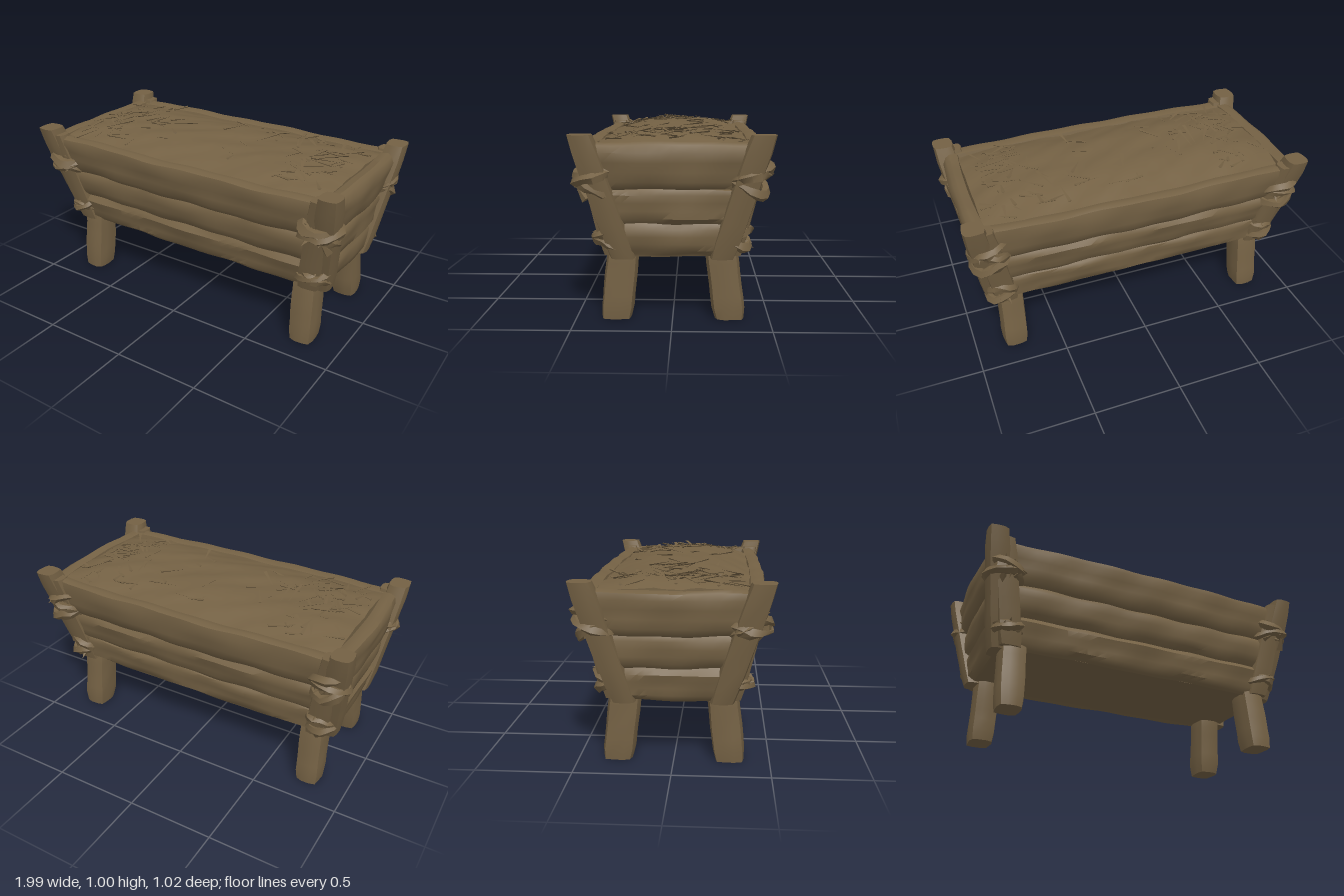
import * as THREE from 'three';
import { mergeVertices, mergeGeometries, toCreasedNormals } from 'three/addons/utils/BufferGeometryUtils.js';

const lerp = THREE.MathUtils.lerp;

// small seeded generator
let seed = 7;
const rnd = () => {
  seed = (seed * 16807) % 2147483647;
  return seed / 2147483647;
};
const spread = (a) => (rnd() * 2 - 1) * a;

// smooth carved unevenness
const wob = (x, y, z, s) =>
  (Math.sin(x * 9 + s * 1.7 + y * 5) + Math.sin(x * 19 + y * 27 + z * 13 + s * 2.9) * 0.7 +
    Math.sin(z * 11 + y * 8 - s * 4.1)) / 2.7;

// move every vertex by a rule, then smooth with creased edges
function shape(geo, rule, crease = 0.75) {
  geo.deleteAttribute('normal');
  geo.deleteAttribute('uv');
  const g = mergeVertices(geo, 1e-4);
  const p = g.attributes.position;
  const v = new THREE.Vector3();
  for (let i = 0; i < p.count; i++) {
    v.fromBufferAttribute(p, i);
    rule(v);
    p.setXYZ(i, v.x, v.y, v.z);
  }
  return toCreasedNormals(g, crease);
}

// outer faces of the flared box at a given height
const slope = (y) => (y - 0.34) / 0.58;
const sideZ = (y) => lerp(0.335, 0.465, slope(y));
const endX = (y) => lerp(0.875, 0.95, slope(y));

export function createModel() {
  const model = new THREE.Group();
  model.name = 'feedingTrough';
  const wood = new THREE.MeshStandardMaterial({ color: 0x746144 });
  wood.name = 'weatheredBrown';

  function add(geo, name) {
    const mesh = new THREE.Mesh(geo, wood);
    mesh.name = name;
    model.add(mesh);
    return mesh;
  }

  // one wall plank; faces +z and is turned to the wall it belongs to
  function plank(y0, y1, thick, end, s, angle) {
    const geo = shape(new THREE.BoxGeometry(1, 1, 1, end ? 14 : 28, 5, 2), (v) => {
      const u = v.x, h = v.y, w = v.z;
      const rim = y1 > 0.9;
      let y = lerp(y0, y1, h + 0.5);
      const half = end ? sideZ(y) - 0.05 : endX(y) - 0.05;
      const out = end ? endX(y) : sideZ(y);
      const x = u * 2 * half;
      const bulge = (1 - 4 * u * u) * (rim ? 0.022 : 0.008);
      const round = Math.abs(h) > 0.49 ? 0.02 : 0;
      const n = wob(x, h, w, s);
      y += Math.abs(h) > 0.49 ? wob(x, 0, w, s + 3) * 0.008 : 0;
      if (Math.abs(h) > 0.49 && Math.abs(w) > 0.4) y -= Math.sign(h) * 0.012;
      v.set(x, y, out - (0.5 - w) * thick + bulge + (w > 0 ? n * 0.009 - round : 0));
    });
    geo.rotateY(angle);
    add(geo, end ? 'endPlank' : 'sidePlank');
  }
  const rows = [[0.34, 0.525, 0.06], [0.505, 0.705, 0.07], [0.685, 0.925, 0.09]];
  rows.forEach(([y0, y1, t], i) => {
    for (let k = 0; k < 4; k++) plank(y0, y1, t, k % 2 === 1, i * 4 + k, (k * Math.PI) / 2);
  });

  // floor of the trough
  add(new THREE.BoxGeometry(1.7, 0.04, 0.62).translate(0, 0.365, 0), 'floor');

  // upright hewn beam running from a to b
  function beam(a, b, wx, wz, s, name) {
    add(shape(new THREE.BoxGeometry(1, 1, 1, 3, 7, 3), (v) => {
      const t = v.y + 0.5;
      const cx = lerp(a[0], b[0], t), cz = lerp(a[2], b[2], t);
      const corner = Math.abs(v.x) > 0.49 && Math.abs(v.z) > 0.49 ? 0.86 : 1;
      const cap = Math.abs(v.y) > 0.49 ? 0.9 : 1;
      const y = lerp(a[1], b[1], t);
      const k = corner * cap * (1 + wob(v.x, y, v.z, s) * 0.06);
      v.set(cx + v.x * wx * k, y, cz + v.z * wz * k);
    }), name);
  }

  // coarse cord wrapped round a corner
  function cord(x, y, z, r, tilt, turn, s, name) {
    const geo = shape(new THREE.TorusGeometry(r, 0.026, 5, 14), (v) => {
      const n = wob(v.x * 4, v.y * 4, v.z * 5, s);
      v.multiplyScalar(1 + n * 0.13);
      v.z += n * 0.014;
    }, 0.6);
    geo.rotateX(Math.PI / 2 + tilt).rotateZ(turn).translate(x, y, z);
    add(geo, name);
  }

  // corners: leg, two posts, lashings and loose cord ends
  let s = 20;
  for (const sx of [-1, 1]) for (const sz of [-1, 1]) {
    s += 3;
    const at = (x, y, z) => [sx * x, y, sz * z];
    beam(at(0.765, 0, 0.293), at(0.76, 0.42, 0.245), 0.145, 0.165, s, 'leg');
    beam(at(0.835, 0.335, 0.25), at(0.935, 0.965, 0.445), 0.125, 0.135, s + 1, 'endPost');
    beam(at(0.785, 0.345, 0.305), at(0.895, 0.93, 0.435), 0.135, 0.10, s + 2, 'sidePost');
    cord(sx * 0.865, 0.745, sz * 0.385, 0.095, 0.25, 0.2, s, 'upperLashing');
    cord(sx * 0.865, 0.715, sz * 0.38, 0.09, -0.35, -0.3, s + 1, 'upperLashing');
    cord(sx * 0.86, 0.785, sz * 0.395, 0.085, 0.3, -0.25, s + 2, 'upperLashing');
    cord(sx * 0.81, 0.455, sz * 0.32, 0.075, 0.3, 0.25, s, 'lowerLashing');
    cord(sx * 0.815, 0.425, sz * 0.315, 0.07, -0.3, -0.2, s + 1, 'lowerLashing');

    const ends = [];
    for (let i = 0; i < 8; i++) {
      const up = i < 5;
      const g = new THREE.ConeGeometry(0.026, 0.1, 4);
      g.rotateX(sz * (1.3 + spread(0.9))).rotateZ(spread(0.7));
      g.translate(sx * ((up ? 0.87 : 0.79) + spread(0.06)), (up ? 0.74 : 0.45) + spread(0.06),
        sz * ((up ? 0.435 : 0.36) + spread(0.015)));
      ends.push(g);
    }
    add(toCreasedNormals(mergeGeometries(ends), 0.5), 'cordEnds');
  }

  // rumpled heap of hay filling the box
  add(shape(new THREE.BoxGeometry(1.74, 0.1, 0.8, 34, 1, 18), (v) => {
    const top = v.y > 0;
    const fall = Math.max(0, 1 - (v.z / 0.42) ** 2) * Math.max(0, 1 - (v.x / 0.92) ** 6);
    v.y = top ? 0.9 + 0.068 * fall + wob(v.x, v.z * 0.7, v.z, 5) * 0.012 + spread(0.004) : 0.8;
  }, 0.9), 'hayHeap');

  // loose stalks lying on the heap, thickest towards the two ends
  const stalks = [];
  for (let i = 0; i < 130; i++) {
    const x = i < 90 ? Math.sign(spread(1)) * (0.68 + spread(0.14)) : spread(0.75);
    const z = spread(0.33);
    const g = new THREE.ConeGeometry(0.012, 0.1 + rnd() * 0.09, 3);
    g.scale(1, 1, 0.5).rotateX(Math.PI / 2 + spread(0.2)).rotateY(rnd() * 6.28);
    const fall = (1 - (z / 0.42) ** 2) * (1 - (x / 0.92) ** 6);
    g.translate(x, 0.9 + 0.07 * fall + rnd() * 0.012, z);
    stalks.push(g);
  }
  add(toCreasedNormals(mergeGeometries(stalks), 0.4), 'hayStalks');

  return model;
}
